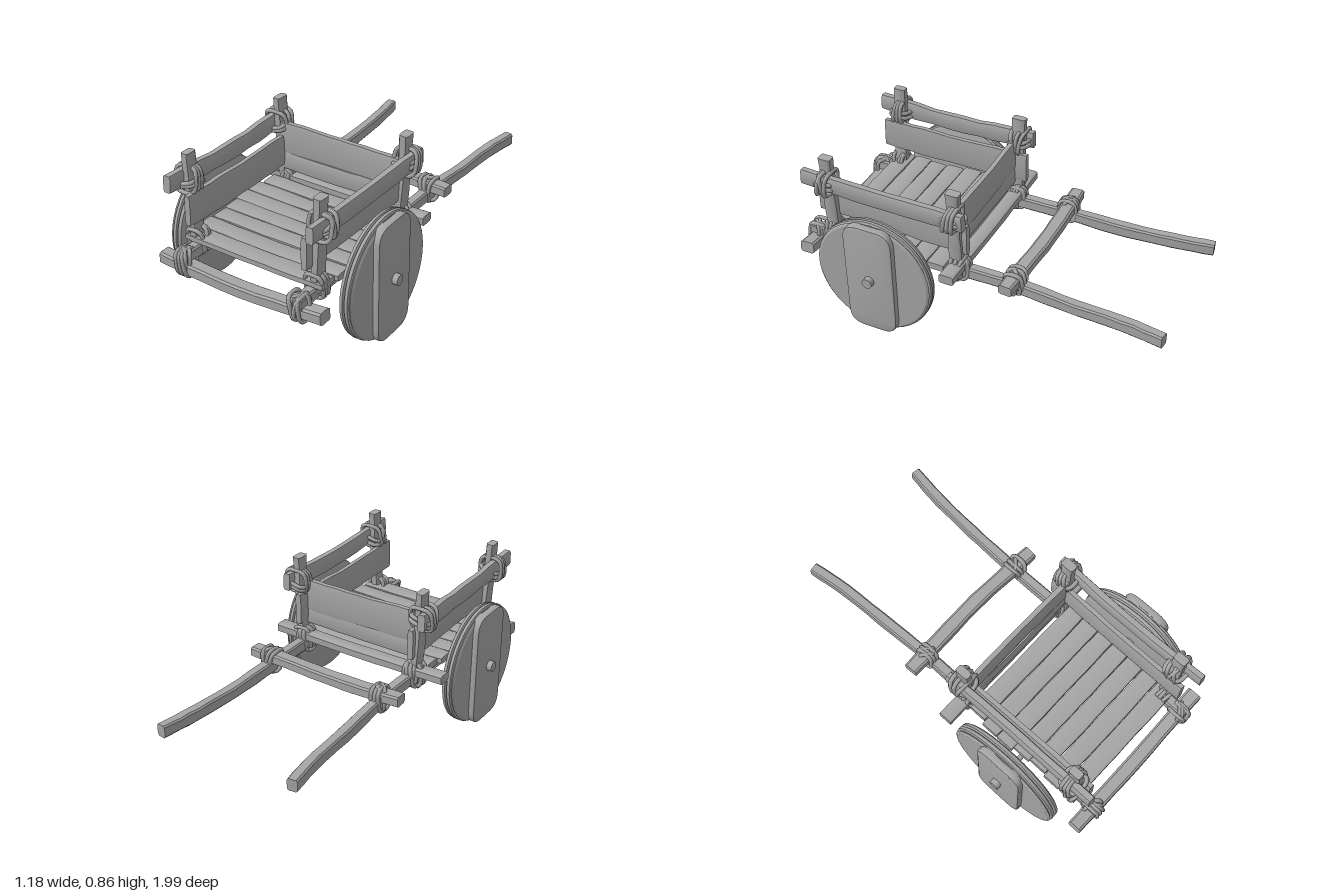
import * as THREE from 'three';
import { toCreasedNormals } from 'three/addons/utils/BufferGeometryUtils.js';

const wood = new THREE.MeshStandardMaterial({ color: 0xa6a6a6 });
wood.name = 'grey wood';

let seed = 7;
function rand() { // seeded, -1..1
  seed = (seed * 16807) % 2147483647;
  return (seed / 2147483647) * 2 - 1;
}
const V = (p) => new THREE.Vector3(...p);

function add(parent, name, geometry) {
  const mesh = new THREE.Mesh(geometry, wood);
  mesh.name = name;
  parent.add(mesh);
  return mesh;
}

// Rough-hewn timber: a chamfered rectangle (w across, h along up) swept along a path
function timber(points, w, h, up = [0, 1, 0], rough = 0.05, steps = 10) {
  const curve = new THREE.CatmullRomCurve3(points.map(V));
  const pos = [], idx = [], n = 8, c = 0.28;
  const section = [[1, -1 + c], [1, 1 - c], [1 - c, 1], [-1 + c, 1],
    [-1, 1 - c], [-1, -1 + c], [-1 + c, -1], [1 - c, -1]];
  for (let i = 0; i <= steps; i++) {
    const p = curve.getPoint(i / steps), t = curve.getTangent(i / steps);
    const s = V(up).cross(t).normalize(), u = t.clone().cross(s);
    const kw = 1 + rand() * rough, kh = 1 + rand() * rough;
    for (const [a, b] of section) {
      const q = p.clone().addScaledVector(s, a * kw * w / 2).addScaledVector(u, b * kh * h / 2);
      pos.push(q.x, q.y, q.z);
    }
  }
  for (let i = 0; i < steps; i++) for (let j = 0; j < n; j++) {
    const a = i * n + j, b = i * n + (j + 1) % n;
    idx.push(a, b, a + n, b, b + n, a + n);
  }
  const e = steps * n;
  for (let j = 1; j < n - 1; j++) idx.push(0, j + 1, j, e, e + j, e + j + 1);
  const g = new THREE.BufferGeometry();
  g.setAttribute('position', new THREE.Float32BufferAttribute(pos, 3));
  g.setIndex(idx);
  return toCreasedNormals(g, 0.6);
}

// Rope binding: loops of cord around a w x h bundle lying along the local z axis
function lashing(parent, at, w, h, turn = [0, 0, 0], loops = 3) {
  const group = new THREE.Group();
  group.name = 'lashing';
  for (let k = 0; k < loops; k++) {
    const pts = [], tilt = rand() * 0.02, z = (k - (loops - 1) / 2) * 0.021;
    for (let i = 0; i < 12; i++) {
      const a = i / 12 * Math.PI * 2, cx = Math.cos(a), sy = Math.sin(a);
      pts.push(V([Math.sign(cx) * Math.abs(cx) ** 0.6 * w / 2,
        Math.sign(sy) * Math.abs(sy) ** 0.6 * h / 2, z + tilt * sy]));
    }
    add(group, 'rope loop', new THREE.TubeGeometry(new THREE.CatmullRomCurve3(pts, true), 28, 0.011, 6, true));
  }
  group.position.set(...at);
  group.rotation.set(...turn);
  parent.add(group);
}

function makeWheel(side) {
  const wheel = new THREE.Group();
  wheel.name = side > 0 ? 'leftWheel' : 'rightWheel';
  // Solid disc with grooves round the rim
  const profile = [[0, -0.036], [0.305, -0.036], [0.32, -0.028], [0.324, -0.012], [0.313, -0.006],
    [0.324, 0], [0.324, 0.016], [0.314, 0.021], [0.32, 0.028], [0.308, 0.036], [0, 0.036]];
  const disc = new THREE.LatheGeometry(profile.map(([r, y]) => new THREE.Vector2(r, y)), 48);
  disc.rotateZ(-side * Math.PI / 2);
  add(wheel, 'wheelDisc', toCreasedNormals(disc, 0.5)).position.x = side * 0.494;
  // Rounded plank across the outer face
  const w = 0.128, h = 0.305, r = 0.075;
  const shape = new THREE.Shape();
  shape.moveTo(-w + r, -h);
  shape.lineTo(w - r, -h);
  shape.quadraticCurveTo(w, -h, w, -h + r);
  shape.lineTo(w, h - r);
  shape.quadraticCurveTo(w, h, w - r, h);
  shape.lineTo(-w + r, h);
  shape.quadraticCurveTo(-w, h, -w, h - r);
  shape.lineTo(-w, -h + r);
  shape.quadraticCurveTo(-w, -h, -w + r, -h);
  const plank = new THREE.ExtrudeGeometry(shape, { depth: 0.028, bevelSize: 0.01, bevelThickness: 0.01, bevelSegments: 2, curveSegments: 6 });
  plank.translate(0, 0, -0.014);
  plank.rotateY(Math.PI / 2);
  add(wheel, 'wheelPlank', toCreasedNormals(plank, 0.5)).position.x = side * 0.538;
  // Thick axle end through the hub
  const hub = new THREE.CylinderGeometry(0.028, 0.03, 0.18, 14);
  hub.rotateZ(-side * Math.PI / 2);
  add(wheel, 'axleEnd', toCreasedNormals(hub, 0.6)).position.x = side * 0.5;
  wheel.position.set(0, 0.333, 0.5);
  return wheel;
}

export function createModel() {
  seed = 7;
  const cart = new THREE.Group();
  cart.name = 'handcart';

  // Wheels and axle
  cart.add(makeWheel(1), makeWheel(-1));
  const rod = new THREE.CylinderGeometry(0.014, 0.014, 0.86, 10);
  rod.rotateZ(Math.PI / 2);
  add(cart, 'axleRod', rod).position.set(0, 0.333, 0.5);

  // Cross bars
  add(cart, 'frontCrossBar', timber([[-0.47, 0.33, 0.935], [-0.25, 0.315, 0.935], [0, 0.307, 0.935], [0.25, 0.317, 0.93], [0.465, 0.335, 0.93]], 0.075, 0.062));
  add(cart, 'rearCrossBar', timber([[-0.455, 0.435, -0.2], [-0.2, 0.43, -0.21], [0.05, 0.435, -0.215], [0.25, 0.435, -0.205], [0.445, 0.43, -0.195]], 0.075, 0.055));
  add(cart, 'bedCrossBar', timber([[-0.52, 0.43, 0.105], [0, 0.425, 0.1], [0.495, 0.43, 0.1]], 0.075, 0.05));

  // Bed planks
  for (let i = 0; i < 7; i++) {
    const z = 0.205 + i * 0.101;
    add(cart, 'bedPlank', timber([[-0.4 + rand() * 0.015, 0.42, z], [0, 0.413 + rand() * 0.004, z], [0.41 + rand() * 0.015, 0.42, z]], 0.096, 0.036, [0, 1, 0], 0.04));
  }

  // Back boards
  add(cart, 'upperBackBoard', timber([[-0.36, 0.66, 0.13], [0, 0.655, 0.125], [0.36, 0.65, 0.13]], 0.035, 0.17, [0, 1, 0], 0.03));
  add(cart, 'lowerBackBoard', timber([[-0.35, 0.53, 0.13], [0, 0.53, 0.135], [0.35, 0.535, 0.13]], 0.032, 0.095, [0, 1, 0], 0.05));

  for (const s of [1, -1]) {
    // Long shaft running under the bed and out to the pulling handle
    add(cart, 'shaft', timber([[s * 0.335, 0.37, 0.97], [s * 0.335, 0.37, 0.5], [s * 0.33, 0.385, 0.05],
      [s * 0.33, 0.385, -0.2], [s * 0.342, 0.37, -0.5], [s * 0.36, 0.373, -0.8], [s * 0.387, 0.372, -0.99]],
    0.056, 0.066, [0, 1, 0], 0.06, 22));

    // Corner posts
    for (const z of [0.82, 0.11]) {
      add(cart, 'cornerPost', timber([[s * 0.345, 0.37, z], [s * 0.362, 0.6, z], [s * 0.374, 0.87, z]], 0.068, 0.045, [1, 0, 0], 0.08));
      lashing(cart, [s * 0.382, 0.73, z], 0.125, 0.13, [0, 0, 0], 3);
      lashing(cart, [s * 0.377, 0.715, z], 0.11, 0.105, [Math.PI / 2, 0.25, 0], 2);
      lashing(cart, [s * 0.345, 0.405, z], 0.095, 0.13, [0, 0, 0], 3);
    }

    // Side boards: a rail outside the posts, a wide board inside
    add(cart, 'sideRail', timber([[s * 0.402, 0.745, 0.95], [s * 0.398, 0.725, 0.6], [s * 0.4, 0.725, 0.3], [s * 0.41, 0.735, 0.04]], 0.04, 0.09, [0, 1, 0], 0.08));
    add(cart, 'sideBoard', timber([[s * 0.333, 0.6, 0.9], [s * 0.336, 0.59, 0.5], [s * 0.345, 0.59, 0.05]], 0.032, 0.165, [0, 1, 0], 0.05));

    // Bindings where the shafts meet the cross bars
    for (const [y, z, h] of [[0.345, 0.935, 0.125], [0.41, -0.2, 0.125], [0.405, 0.1, 0.12]]) {
      lashing(cart, [s * 0.333, y, z], 0.095, h, [0, Math.PI / 2, 0], 3);
      lashing(cart, [s * 0.333, y, z], 0.085, h, [0, s * 0.7, 0], 2);
    }
  }
  return cart;
}
